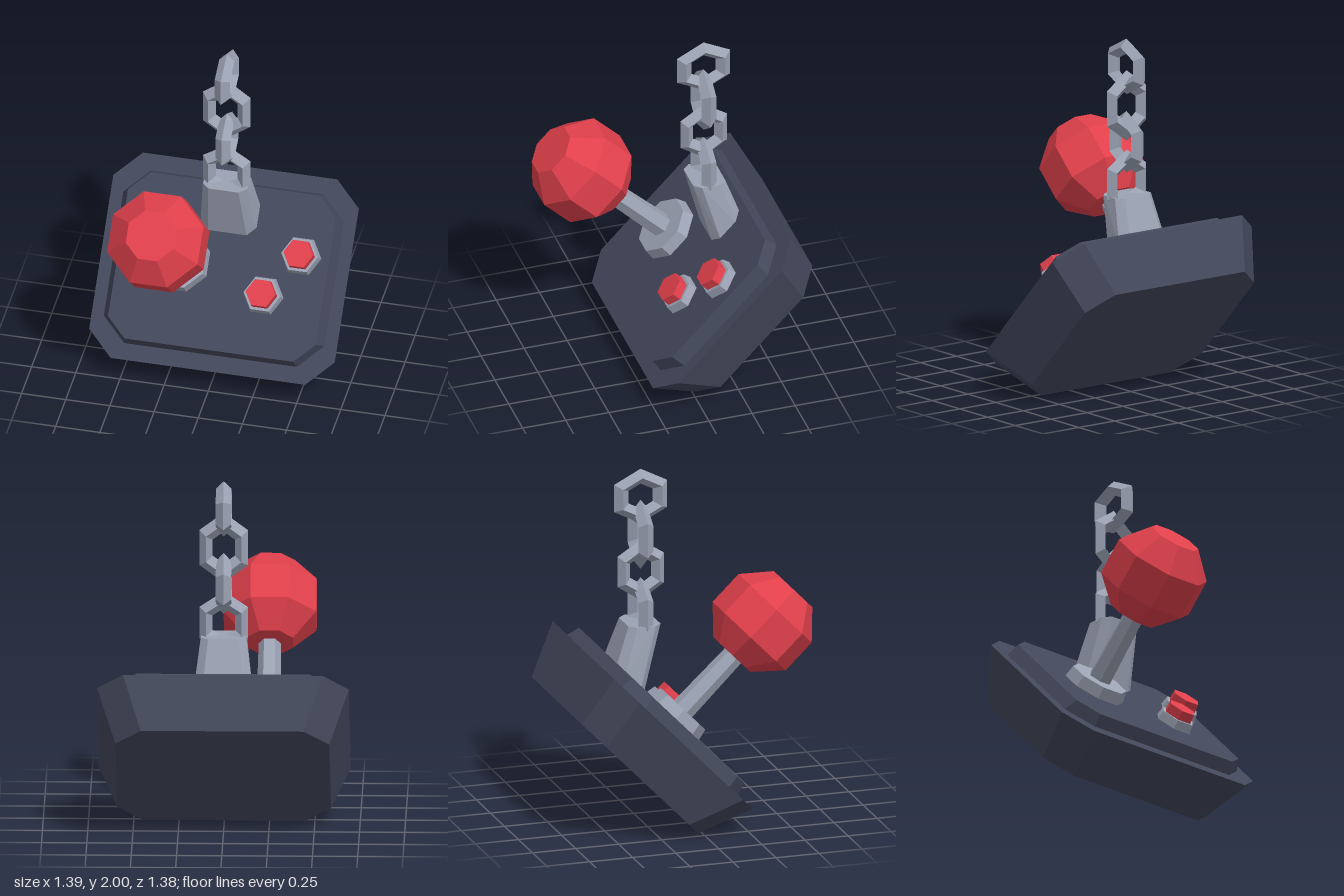
import * as THREE from 'three';
import { ConvexGeometry } from 'three/addons/geometries/ConvexGeometry.js';

const TILT = THREE.MathUtils.degToRad(46);
const PIVOT = new THREE.Vector3(0, 0.565, -0.14);

const makeMaterial = (name, color) => {
  const m = new THREE.MeshStandardMaterial({ color, flatShading: true });
  m.name = name;
  return m;
};

// Rectangle with cut corners, lying flat at height y
function octagon(halfX, halfZ, cut, y, centreZ = 0) {
  const points = [];
  for (const sx of [-1, 1]) for (const sz of [-1, 1]) {
    points.push(new THREE.Vector3(sx * halfX, y, centreZ + sz * (halfZ - cut)));
    points.push(new THREE.Vector3(sx * (halfX - cut), y, centreZ + sz * halfZ));
  }
  return points;
}

export function createModel() {
  const navy = makeMaterial('dark slate', 0x42475a);
  const grey = makeMaterial('steel grey', 0x9ba2b3);
  const red = makeMaterial('red', 0xe0404b);

  const model = new THREE.Group();
  model.name = 'joystickPendant';

  // Everything on the panel is built upright, then tilted as one
  const panel = new THREE.Group();
  panel.name = 'controlPanel';
  panel.position.copy(PIVOT);
  panel.rotation.x = TILT;
  model.add(panel);

  const add = (parent, name, geometry, material, x = 0, y = 0, z = 0) => {
    const mesh = new THREE.Mesh(geometry, material);
    mesh.name = name;
    mesh.position.set(x, y, z);
    parent.add(mesh);
    return mesh;
  };
  const prism = (rTop, rBottom, height, sides, turn) =>
    new THREE.CylinderGeometry(rTop, rBottom, height, sides).rotateY(turn);

  // Base that narrows downwards, and the raised top plate
  add(panel, 'base', new ConvexGeometry([
    ...octagon(0.59, 0.485, 0.14, -0.304), ...octagon(0.695, 0.577, 0.145, 0)]), navy);
  add(panel, 'topPlate', new ConvexGeometry([
    ...octagon(0.63, 0.487, 0.14, -0.01), ...octagon(0.588, 0.467, 0.11, 0.073)]), navy);

  // Joystick
  const stick = new THREE.Group();
  stick.name = 'joystick';
  stick.position.set(-0.245, 0, -0.005);
  panel.add(stick);
  add(stick, 'stickFlange', prism(0.168, 0.184, 0.08, 8, Math.PI / 8), grey, 0, 0.1, 0);
  add(stick, 'stickShaft', prism(0.06, 0.069, 0.52, 6, Math.PI / 6), grey, 0, 0.36, 0);
  const profile = [[0, -0.245], [0.14, -0.245], [0.277, -0.105], [0.277, 0.105], [0.146, 0.25], [0, 0.25]];
  add(stick, 'stickBall', new THREE.LatheGeometry(
    profile.map(([r, y]) => new THREE.Vector2(r, y)), 8).rotateY(Math.PI / 8), red, 0, 0.787, -0.01);

  // Two push buttons
  for (const [x, z] of [[0.43, -0.12], [0.255, 0.125]]) {
    const button = new THREE.Group();
    button.name = 'pushButton';
    button.position.set(x, 0, z);
    panel.add(button);
    add(button, 'buttonCollar', prism(0.104, 0.116, 0.06, 6, Math.PI / 6), grey, 0, 0.094, 0);
    add(button, 'buttonCap', prism(0.084, 0.088, 0.08, 6, Math.PI / 6), red, 0, 0.138, 0);
  }

  // Bracket from the sloped plate up to a level top
  const foot = octagon(0.16, 0.115, 0.05, 0.06, -0.3)
    .map((p) => p.applyAxisAngle(new THREE.Vector3(1, 0, 0), TILT).add(PIVOT));
  add(model, 'chainBracket', new ConvexGeometry([
    ...foot, ...octagon(0.125, 0.093, 0.04, 1.12, -0.215)]), grey);

  // Chain of six-sided links, alternately turned: centre height, width and height scale
  const links = [[1.842, 1.13, 1], [1.62, 0.985, 1.27], [1.414, 0.985, 1.11], [1.19, 0.985, 1.14]];
  links.forEach(([y, width, height], i) => {
    const link = new THREE.TorusGeometry(0.115, 0.043, 4, 6).rotateZ(Math.PI / 6);
    link.scale(width, height, 1);
    if (i % 2 === 0) link.rotateY(Math.PI / 2);
    add(model, 'chainLink', link, grey, 0, y, -0.21);
  });

  return model;
}
